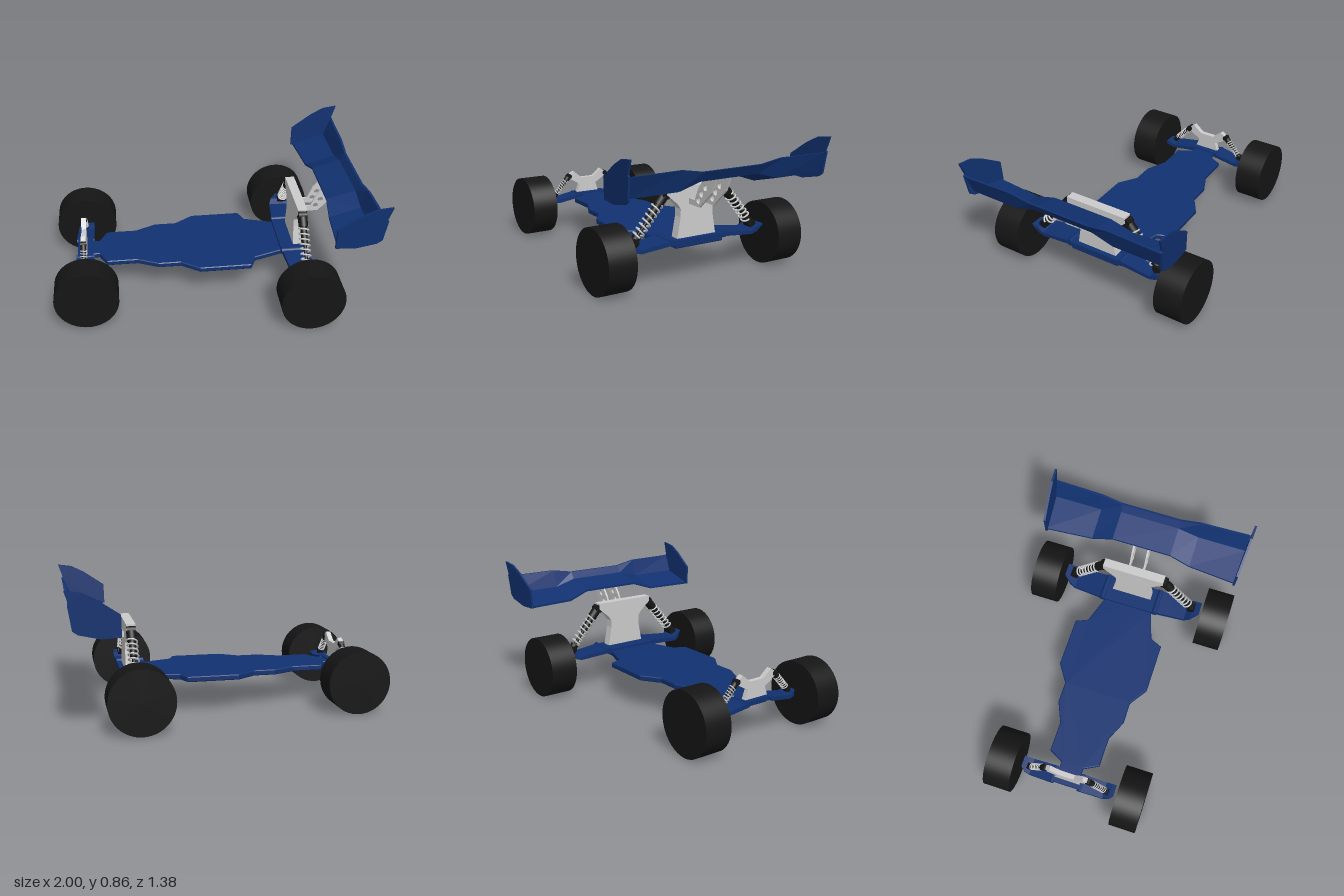
import * as THREE from 'three';

const material = (color) => new THREE.MeshStandardMaterial({ color, side: THREE.DoubleSide });
const blue = material(0x113170), black = material(0x151515), grey = material(0xcccccc);

function add(parent, name, geometry, mat, x = 0, y = 0, z = 0) {
  const mesh = new THREE.Mesh(geometry, mat);
  mesh.name = name;
  mesh.position.set(x, y, z);
  parent.add(mesh);
  return mesh;
}

// Plate from an outline, extruded by depth and centred on it
function plate(points, depth, holes = [], bevel = 0) {
  const shape = new THREE.Shape(points.map(([a, b]) => new THREE.Vector2(a, b)));
  for (const [x, y, r] of holes) shape.holes.push(new THREE.Path().absarc(x, y, r, 0, Math.PI * 2, true));
  const g = new THREE.ExtrudeGeometry(shape, {
    depth: depth - 2 * bevel, bevelEnabled: bevel > 0, bevelSize: bevel,
    bevelThickness: bevel, bevelOffset: -bevel, bevelSegments: 1, curveSegments: 10,
  });
  return g.translate(0, 0, bevel - depth / 2);
}

// Half outline mirrored across the second axis
const mirrored = (half) => [...half, ...half.map(([a, b]) => [a, -b]).reverse()];

// Faceted skin through equal-length loops (lower edge out, upper edge back), capped at both ends
function loft(loops) {
  const n = loops[0].length, p = loops.flat().map((v) => new THREE.Vector3(...v));
  const tris = [], quad = (a, b, c, d) => tris.push([a, b, c], [a, c, d]);
  for (let s = 0; s < loops.length - 1; s++) {
    for (let i = 0; i < n; i++) {
      const a = s * n + i, b = s * n + (i + 1) % n;
      quad(a, b, b + n, a + n);
    }
  }
  const e = (loops.length - 1) * n;
  for (let i = 0; i < n / 2 - 1; i++) {
    const [a, b, c, d] = [i, i + 1, n - 2 - i, n - 1 - i];
    quad(d, c, b, a);
    quad(e + a, e + b, e + c, e + d);
  }
  // Turn the faces outward whichever way the loops run
  const centre = p.reduce((m, v) => m.add(v), new THREE.Vector3()).divideScalar(p.length);
  const rel = p.map((v) => v.clone().sub(centre));
  const volume = tris.reduce((sum, [a, b, c]) => sum + rel[a].dot(rel[b].clone().cross(rel[c])), 0);
  const pts = tris.flatMap((t) => (volume < 0 ? [t[0], t[2], t[1]] : t)).map((i) => p[i]);
  const g = new THREE.BufferGeometry().setFromPoints(pts);
  g.computeVertexNormals();
  return g;
}

class Helix extends THREE.Curve {
  constructor(radius, from, to, turns) {
    super();
    Object.assign(this, { radius, from, to, turns });
  }
  getPoint(t, target = new THREE.Vector3()) {
    const a = t * this.turns * Math.PI * 2;
    return target.set(this.radius * Math.cos(a), this.from + (this.to - this.from) * t, this.radius * Math.sin(a));
  }
}

// Spring damper from its lower to its upper mount
function damper(parent, name, low, high, r) {
  const g = new THREE.Group(), dir = high.clone().sub(low), L = dir.length();
  g.name = name;
  g.position.copy(low);
  g.quaternion.setFromUnitVectors(new THREE.Vector3(0, 1, 0), dir.normalize());
  const cyl = (part, radius, from, to) =>
    add(g, part, new THREE.CylinderGeometry(radius, radius, (to - from) * L, 20), black, 0, (from + to) / 2 * L, 0);
  cyl('damperRod', r * 0.3, 0, 0.6);
  cyl('damperBody', r * 0.6, 0.45, 0.95);
  cyl('lowerSpringSeat', r * 0.75, 0.05, 0.13);
  cyl('upperCap', r * 0.85, 0.78, 0.96);
  for (const y of [0, L]) {
    add(g, 'mountEye', new THREE.CylinderGeometry(r * 0.75, r * 0.75, r * 1.6, 16).rotateZ(Math.PI / 2), black, 0, y, 0);
  }
  add(g, 'spring', new THREE.TubeGeometry(new Helix(r * 0.86, L * 0.12, L * 0.8, 7), 140, r * 0.16, 6), grey);
  parent.add(g);
}

export function createModel() {
  const car = new THREE.Group();
  car.name = 'buggy';

  // Floor plate
  const floor = mirrored([[-0.84, 0.075], [-0.72, 0.075], [-0.67, 0.17], [-0.475, 0.17], [-0.34, 0.23], [-0.2, 0.23],
    [-0.08, 0.31], [0.25, 0.31], [0.285, 0.23], [0.47, 0.17], [0.645, 0.17]]);
  add(car, 'chassis', plate(floor, 0.034, [], 0.005).rotateX(Math.PI / 2), blue, 0, 0.228, 0);
  add(car, 'rearArmMount', new THREE.BoxGeometry(0.18, 0.03, 0.4), blue, 0.557, 0.246, 0);
  add(car, 'frontArmMount', new THREE.BoxGeometry(0.1, 0.025, 0.2), blue, -0.81, 0.24, 0);

  // Shock towers, outlined across the car
  const symmetric = (half) => mirrored(half.map(([z, y]) => [y, z])).map(([y, z]) => [z, y]);
  const rearTower = symmetric([[0.14, 0.25], [0.115, 0.39], [0.115, 0.44], [0.135, 0.47], [0.21, 0.535], [0.21, 0.573]]);
  add(car, 'rearTower', plate(rearTower, 0.06).rotateY(Math.PI / 2), grey, 0.585, 0, 0);
  const frontTower = symmetric([[0.09, 0.24], [0.065, 0.31], [0.14, 0.355], [0.14, 0.39], [0.11, 0.41], [0.05, 0.36]]);
  add(car, 'frontTower', plate(frontTower, 0.032).rotateY(Math.PI / 2), grey, -0.815, 0, 0);

  // Wing: mirrored stations of [z, leading x, leading y, crease y, trailing x, trailing y]
  const half = [[0.665, 0.695, 0.58, 0.635, 0.978, 0.76], [0.34, 0.722, 0.58, 0.635, 0.968, 0.76], [0.2, 0.735, 0.628, 0.675, 0.962, 0.735]];
  const stations = [...half, ...half.map(([z, ...v]) => [-z, ...v]).reverse()];
  add(car, 'wing', loft(stations.map(([z, x0, y0, yc, x1, y1]) => [
    [x0, y0, z], [0.93, yc, z], [x1, y1, z],
    [x1 - 0.014, y1, z], [0.918, yc + 0.013, z], [x0, y0 + 0.013, z],
  ])), blue);

  const endOutline = [[0.682, 0.582], [0.8, 0.578], [0.925, 0.607], [0.957, 0.63], [0.978, 0.765],
    [0.968, 0.77], [0.997, 0.857], [0.905, 0.845], [0.82, 0.803], [0.685, 0.712]];

  for (const side of [1, -1]) {
    const label = side > 0 ? 'left' : 'right';

    // Tyres
    for (const [name, x, z, w] of [['FrontWheel', -0.805, 0.428, 0.177], ['RearWheel', 0.578, 0.597, 0.182]]) {
      add(car, label + name, new THREE.CylinderGeometry(0.2, 0.2, w, 64).rotateX(Math.PI / 2), black, x, 0.2, side * z);
    }

    // Suspension arms: stations of [z, x0, x1, bottom y, top y]
    const arm = (rows) => loft(rows.map(([z, x0, x1, y0, y1]) =>
      [[x0, y0, side * z], [x1, y0, side * z], [x1, y1, side * z], [x0, y1, side * z]]));
    add(car, label + 'RearArm', arm([[0.18, 0.47, 0.645, 0.236, 0.264], [0.4, 0.495, 0.645, 0.217, 0.24],
      [0.44, 0.51, 0.642, 0.228, 0.262], [0.49, 0.55, 0.638, 0.264, 0.272]]), blue);
    add(car, label + 'FrontArm', arm([[0.09, -0.87, -0.755, 0.222, 0.248], [0.25, -0.862, -0.755, 0.198, 0.222],
      [0.29, -0.852, -0.755, 0.203, 0.232], [0.315, -0.83, -0.755, 0.213, 0.236]]), blue);

    // Hinge pins
    const pin = (len, r) => new THREE.CylinderGeometry(r, r, len, 16).rotateZ(Math.PI / 2);
    add(car, label + 'RearHinge', pin(0.18, 0.02), blue, 0.557, 0.252, side * 0.19);
    add(car, label + 'FrontHinge', pin(0.115, 0.015), blue, -0.812, 0.236, side * 0.095);

    // Dampers
    damper(car, label + 'RearDamper', new THREE.Vector3(0.585, 0.275, side * 0.425), new THREE.Vector3(0.585, 0.535, side * 0.21), 0.036);
    damper(car, label + 'FrontDamper', new THREE.Vector3(-0.815, 0.245, side * 0.262), new THREE.Vector3(-0.815, 0.375, side * 0.145), 0.023);

    // Wing end plates, flaring outward to the rear
    const end = plate(endOutline, 0.014), p = end.attributes.position;
    for (let i = 0; i < p.count; i++) {
      p.setZ(i, p.getZ(i) + side * (0.655 + 0.045 * (p.getX(i) - 0.68) + 0.04 * (p.getY(i) - 0.58)));
    }
    end.computeVertexNormals();
    add(car, label + 'EndPlate', end, blue);

    // Perforated wing struts
    const strut = [[0.6, 0.465], [0.722, 0.465], [0.835, 0.573], [0.875, 0.663], [0.75, 0.633], [0.705, 0.575], [0.672, 0.5], [0.6, 0.5]];
    add(car, label + 'WingStrut', plate(strut, 0.013, [[0.708, 0.503, 0.018], [0.737, 0.547, 0.018], [0.775, 0.592, 0.018]]), grey, 0, 0, side * 0.05);
  }
  return car;
}
